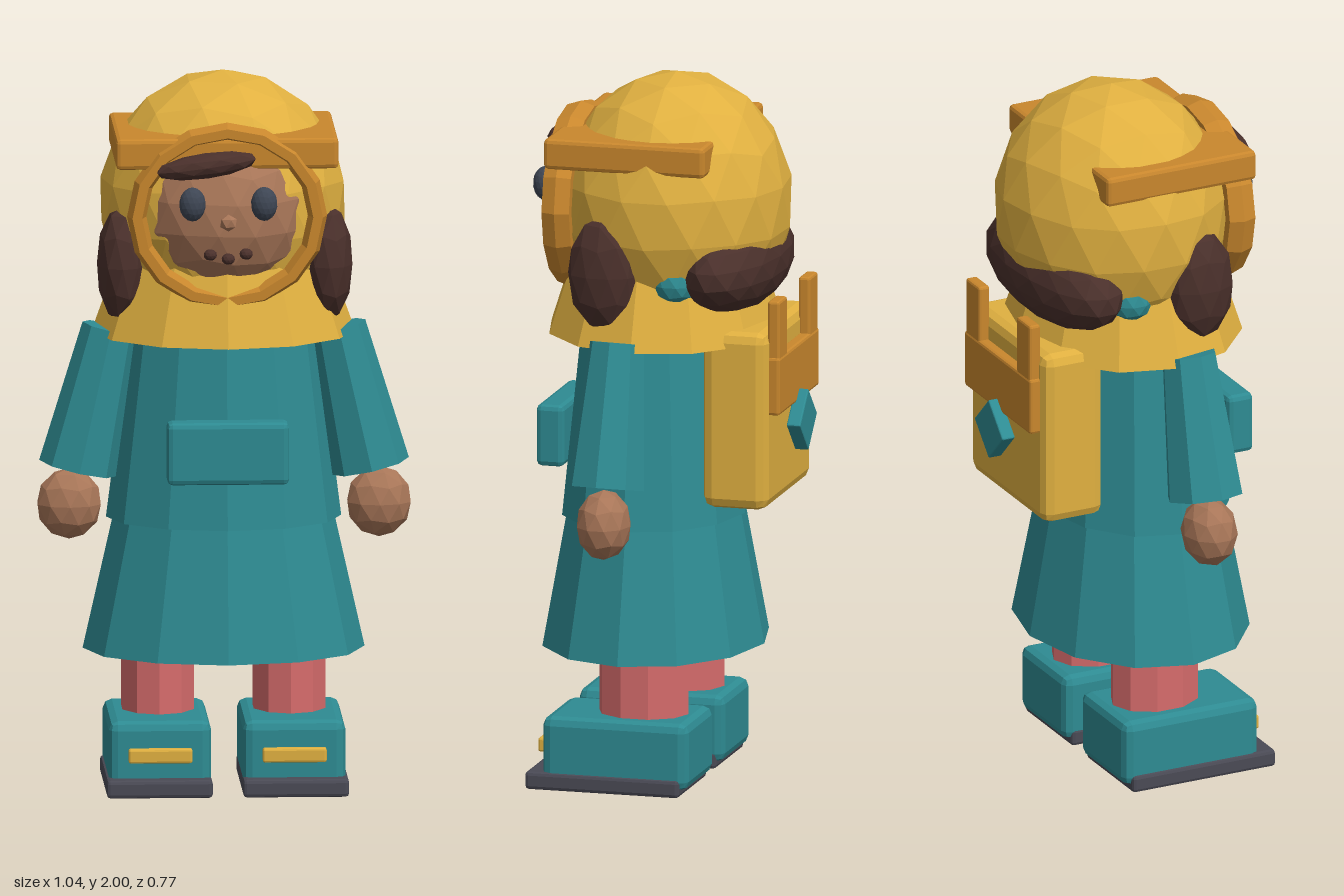
import * as THREE from 'three';
import { RoundedBoxGeometry } from 'three/addons/geometries/RoundedBoxGeometry.js';

export function createModel() {
  const model = new THREE.Group();
  model.name = 'hoodedChild';

  const paint = (name, color) => {
    const m = new THREE.MeshStandardMaterial({ color, flatShading: true });
    m.name = name;
    return m;
  };
  const yellow = paint('yellow', 0xe0b040);
  const orange = paint('orange', 0xc9872d);
  const teal = paint('teal', 0x2e8b92);
  const skin = paint('skin', 0xa87658);
  const pink = paint('pink', 0xd66c6c);
  const slate = paint('slate', 0x4a4a55);
  const eyeBlue = paint('eyeBlue', 0x3e4654);
  const brown = paint('brown', 0x4a302b);

  const add = (name, geometry, material, [x, y, z], parent = model) => {
    const mesh = new THREE.Mesh(geometry, material);
    mesh.name = name;
    mesh.position.set(x, y, z);
    parent.add(mesh);
    return mesh;
  };
  // faceted ellipsoid with a vertex at its top
  const blob = (name, material, pos, [rx, ry, rz], detail = 1) => {
    const g = new THREE.IcosahedronGeometry(1, detail);
    g.rotateZ(-Math.atan(2 / (1 + Math.sqrt(5)))).scale(rx, ry, rz);
    return add(name, g, material, pos);
  };
  // box with a single bevel
  const block = (name, material, pos, [w, h, d], bevel = 0.01) =>
    add(name, new RoundedBoxGeometry(w, h, d, 1, bevel), material, pos);
  // oval tapered tube standing between two heights
  const taper = (name, material, [x, z], y0, y1, r0, r1, depth, sides = 12) => {
    const g = new THREE.CylinderGeometry(r1, r0, y1 - y0, sides).scale(1, 1, depth);
    return add(name, g, material, [x, (y0 + y1) / 2, z]);
  };

  // clothes
  taper('skirt', teal, [0, 0.06], 0.38, 0.77, 0.393, 0.305, 0.8);
  taper('coat', teal, [0, 0.06], 0.75, 1.36, 0.328, 0.25, 0.79);
  taper('cape', yellow, [0, 0.03], 1.27, 1.5, 0.367, 0.285, 0.9);
  block('pocket', teal, [0, 0.973, 0.32], [0.34, 0.175, 0.08], 0.015);

  for (const s of [-1, 1]) {
    const side = s > 0 ? 'left' : 'right';

    // legs and shoes
    taper(side + 'Leg', pink, [s * 0.183, 0.042], 0.15, 0.45, 0.105, 0.105, 1.23, 10);
    block(side + 'Shoe', teal, [s * 0.187, 0.113, 0.088], [0.285, 0.19, 0.42], 0.025);
    block(side + 'Sole', slate, [s * 0.19, 0.025, 0.122], [0.295, 0.05, 0.445], 0.01);
    block(side + 'ShoeStrap', yellow, [s * 0.187, 0.115, 0.305], [0.178, 0.04, 0.036], 0.006);

    // sleeve, tapered from wrist to shoulder
    const wrist = new THREE.Vector3(s * 0.408, 0.892, 0.088);
    const shoulder = new THREE.Vector3(s * 0.318, 1.288, 0.082);
    const axis = shoulder.clone().sub(wrist);
    const sleeve = add(side + 'Sleeve', new THREE.CylinderGeometry(0.078, 0.11, axis.length(), 8),
      teal, wrist.clone().lerp(shoulder, 0.5).toArray());
    sleeve.quaternion.setFromUnitVectors(new THREE.Vector3(0, 1, 0), axis.normalize());
    blob(side + 'Hand', skin, [s * 0.432, 0.793, 0.088], [0.092, 0.1, 0.077]);

    // hair at the side of the head, with its tie
    blob(side + 'HairLock', brown, [s * 0.288, 1.475, 0.13], [0.07, 0.165, 0.102]);
    blob(side + 'HairTie', teal, [s * 0.25, 1.45, -0.065], [0.06, 0.06, 0.065]);

    // eyes
    blob(side + 'Eye', eyeBlue, [s * 0.1, 1.68, 0.352], [0.037, 0.048, 0.033], 2);

    // backpack straps
    block(side + 'PackStrap', orange, [s * 0.157, 1.3, -0.337], [0.085, 0.21, 0.034], 0.007);
  }

  // head and hood
  blob('hood', yellow, [0, 1.63, 0], [0.347, 0.37, 0.325], 2);
  blob('backHair', brown, [0, 1.475, -0.175], [0.335, 0.14, 0.14], 2);
  block('hoodBand', orange, [0, 1.811, 0.066], [0.62, 0.086, 0.465], 0.012);
  const ring = new THREE.TorusGeometry(0.252, 0.027, 6, 16).scale(1, 0.945, 1.7);
  add('faceRing', ring, orange, [0, 1.634, 0.276]);

  // face
  blob('face', skin, [0, 1.63, 0.12], [0.25, 0.25, 0.238], 2);
  blob('nose', skin, [0, 1.628, 0.36], [0.026, 0.024, 0.02], 0);
  blob('fringe', brown, [-0.06, 1.785, 0.33], [0.145, 0.036, 0.045]).rotation.z = 0.14;
  for (const [x, y] of [[-0.05, 1.536], [0, 1.524], [0.05, 1.538]])
    blob('mouthDot', brown, [x, y, 0.347], [0.019, 0.016, 0.022], 1);

  // backpack
  block('backpack', yellow, [0, 1.063, -0.232], [0.47, 0.505, 0.187], 0.03);
  block('packFlap', orange, [0, 1.163, -0.337], [0.41, 0.165, 0.038], 0.008);
  block('packBadge', teal, [0, 1.028, -0.363], [0.125, 0.125, 0.04], 0.004).rotation.z = Math.PI / 4;

  return model;
}
